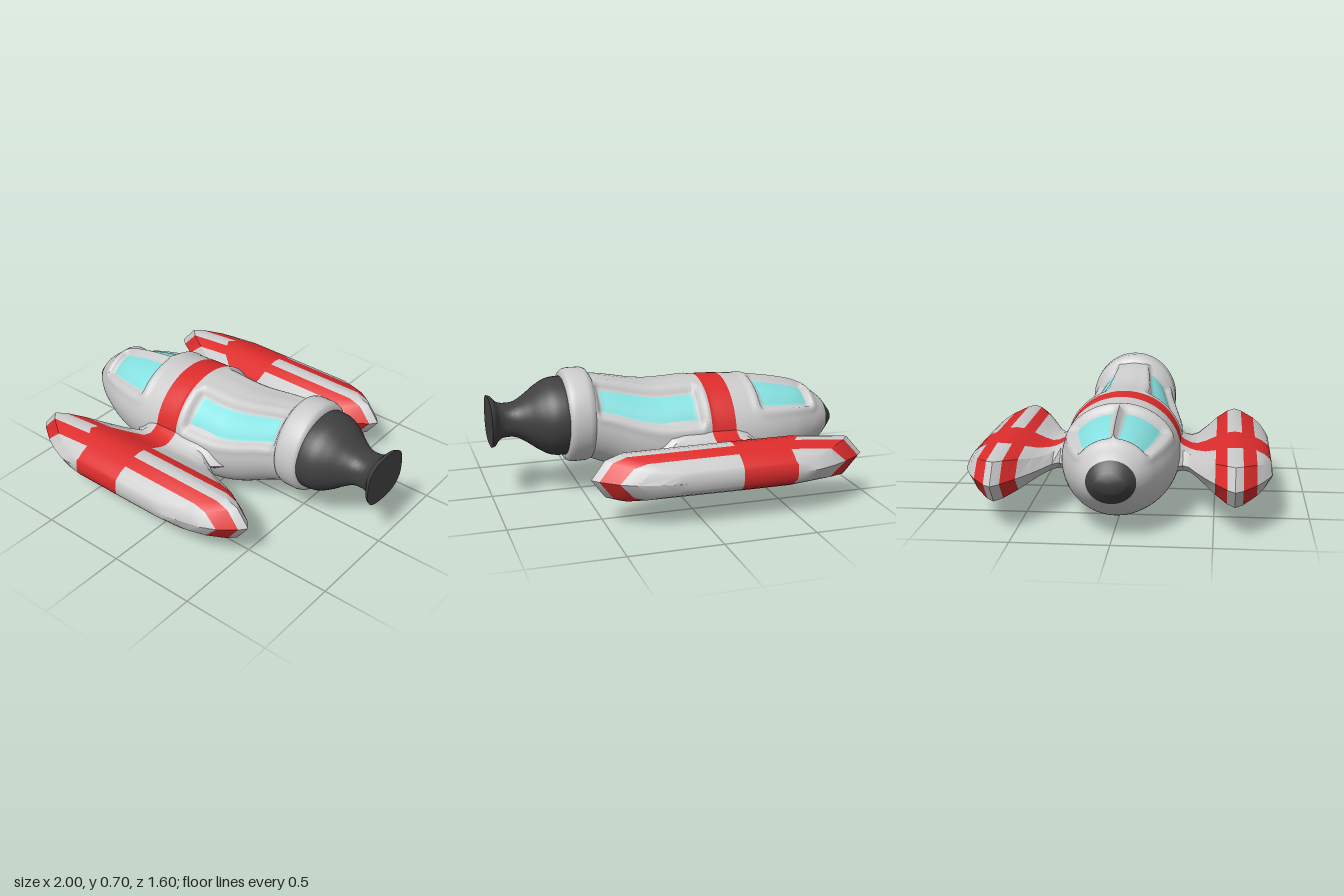
import * as THREE from 'three';
import { toCreasedNormals } from 'three/addons/utils/BufferGeometryUtils.js';

const COLORS = { grey: 0xcccccc, red: 0xdd2c2c, cyan: 0x86e0e0, black: 0x404040 };
const MATERIALS = {};
for (const key in COLORS) MATERIALS[key] = new THREE.MeshStandardMaterial({ color: COLORS[key] });

// Smooth lookup in rows of [x, a, b, ...]
function sample(rows, x) {
  let i = 0;
  while (i < rows.length - 2 && x > rows[i + 1][0]) i++;
  const slope = (k, c) => {
    const p = rows[Math.max(k - 1, 0)], q = rows[Math.min(k + 1, rows.length - 1)];
    return (q[c] - p[c]) / (q[0] - p[0]);
  };
  const p = rows[i], q = rows[i + 1], w = q[0] - p[0], t = (x - p[0]) / w;
  const h = t * t * (3 - 2 * t);
  return p.slice(1).map((v, k) => {
    const c = k + 1;
    return v * (1 - h) + q[c] * h + w * t * (1 - t) * ((1 - t) * slope(i, c) - t * slope(i + 1, c));
  });
}

// Skin closed rings of points; paint(i, j) picks a colour for each quad.
// names maps each colour to the name of the part it makes.
function loft(names, rings, paint, crease) {
  const pos = [], tints = [];
  const a = new THREE.Vector3(), b = new THREE.Vector3();
  const tri = (p, q, r, tint) => {
    if (a.subVectors(q, p).cross(b.subVectors(r, p)).length() < 1e-9) return;
    for (const v of [p, q, r]) pos.push(v.x, v.y, v.z);
    tints.push(tint);
  };
  for (let i = 0; i < rings.length - 1; i++) {
    const n = rings[i].length;
    for (let j = 0; j < n; j++) {
      const k = (j + 1) % n, tint = paint(i, j);
      tri(rings[i][j], rings[i + 1][j], rings[i + 1][k], tint);
      tri(rings[i][j], rings[i + 1][k], rings[i][k], tint);
    }
  }
  let geo = new THREE.BufferGeometry();
  geo.setAttribute('position', new THREE.Float32BufferAttribute(pos, 3));
  geo = toCreasedNormals(geo, crease);
  const group = new THREE.Group();
  for (const tint in names) {
    const part = new THREE.BufferGeometry();
    for (const attr of ['position', 'normal']) {
      const src = geo.attributes[attr].array, out = [];
      tints.forEach((t, f) => {
        if (t === tint) for (let k = 0; k < 9; k++) out.push(src[f * 9 + k]);
      });
      part.setAttribute(attr, new THREE.Float32BufferAttribute(out, 3));
    }
    const mesh = new THREE.Mesh(part, MATERIALS[tint]);
    mesh.name = names[tint];
    group.add(mesh);
  }
  return group;
}

// Hull stations: x, top, bottom, half width
const HULL = [
  [-1, 0.355, 0.265, 0.075], [-0.95, 0.42, 0.2, 0.125], [-0.88, 0.475, 0.145, 0.178],
  [-0.8, 0.525, 0.1, 0.22], [-0.7, 0.555, 0.062, 0.262], [-0.55, 0.583, 0.03, 0.3],
  [-0.4, 0.598, 0.014, 0.315], [-0.2, 0.61, 0.005, 0.315], [0, 0.602, 0.018, 0.31],
  [0.1, 0.602, 0.036, 0.3], [0.2, 0.615, 0.07, 0.28], [0.35, 0.645, 0.145, 0.245],
  [0.46, 0.66, 0.19, 0.225],
];
const SEGS = 96;
// Windows: x range, range of ring steps above the side
const WINDOWS = [[-0.81, -0.51, 10, 22], [-0.11, 0.41, 6, 16]];
const fold = j => (j > SEGS / 4 ? SEGS / 2 - j : j); // mirror left and right

function recess(x, j) {
  let depth = 0;
  for (const [x0, x1, j0, j1] of WINDOWS) {
    const dx = Math.max(x0 - x, x - x1, 0);
    const dj = Math.max(j0 - fold(j), fold(j) - j1, 0) * 0.017;
    const d = Math.hypot(dx, dj);
    depth += 0.034 * (1 - THREE.MathUtils.smoothstep(d, 0.004, 0.035));
    depth -= 0.008 * Math.exp(-(((d - 0.05) / 0.02) ** 2));
  }
  return depth;
}

function buildHull() {
  const xs = [], rings = [];
  for (let k = 0; k <= 146; k++) xs.push(-1 + k / 100);
  for (const x of xs) {
    const [top, bottom, half] = sample(HULL, x);
    rings.push(Array.from({ length: SEGS }, (_, j) => {
      const t = (j / SEGS) * Math.PI * 2, inset = recess(x, j);
      return new THREE.Vector3(x, (top + bottom) / 2 + ((top - bottom) / 2 - inset) * Math.sin(t),
        (half - inset) * Math.cos(t));
    }));
  }
  rings.unshift(rings[0].map(() => new THREE.Vector3(-1, 0.31, 0)));
  xs.unshift(-1);
  const paint = (i, j) => {
    const x = (xs[i] + xs[i + 1]) / 2, f = fold(j + 0.5);
    if (x < -0.95) return 'black';
    if (x > -0.32 && x < -0.18) return 'red';
    return WINDOWS.some(w => x > w[0] && x < w[1] && f > w[2] && f < w[3]) ? 'cyan' : 'grey';
  };
  return loft({ grey: 'hullSkin', red: 'hullBand', cyan: 'windows', black: 'noseCap' }, rings, paint, 1);
}

// Tail engine stations: x, half height, half width
const ENGINE = [
  [0.56, 0.215, 0.228], [0.62, 0.217, 0.232], [0.68, 0.208, 0.222], [0.74, 0.175, 0.188],
  [0.8, 0.13, 0.142], [0.86, 0.095, 0.107], [0.92, 0.09, 0.1], [0.955, 0.1, 0.115],
  [0.98, 0.128, 0.15], [1, 0.134, 0.162],
];
function buildEngine() {
  const rings = [], n = 48;
  for (let k = 0; k <= 44; k++) {
    const x = 0.56 + k / 100, [ry, rz] = sample(ENGINE, x);
    // round at the collar, squarer towards the nozzle lip
    const e = 1 - 0.25 * THREE.MathUtils.smoothstep(x, 0.7, 0.98);
    const bend = v => Math.sign(v) * Math.abs(v) ** e;
    rings.push(Array.from({ length: n }, (_, j) => {
      const t = (j / n) * Math.PI * 2;
      return new THREE.Vector3(x, 0.44 + ry * bend(Math.sin(t)), rz * bend(Math.cos(t)));
    }));
  }
  rings.push(rings[0].map(() => new THREE.Vector3(1, 0.44, 0)));
  return loft({ black: 'nozzle' }, rings, () => 'black', 0.8);
}

// Side pod and its pylon, sliced across z: z, left x, right x, half height, band left x
const POD = [
  [0.25, -0.54, 0.2, 0.16, -0.32], [0.29, -0.49, 0.14, 0.115, -0.32],
  [0.33, -0.445, 0.09, 0.08, -0.32], [0.365, -0.48, 0.14, 0.063, -0.32],
  [0.4, -0.57, 0.21, 0.058, -0.34], [0.45, -0.68, 0.34, 0.074, -0.42],
  [0.505, -0.785, 0.455, 0.1, -0.49], [0.565, -0.885, 0.545, 0.122, -0.53],
  [0.605, -0.93, 0.578, 0.128, -0.55], [0.645, -0.895, 0.545, 0.123, -0.52],
  [0.715, -0.79, 0.455, 0.1, -0.47], [0.755, -0.71, 0.375, 0.08, -0.47],
  [0.785, -0.63, 0.25, 0.056, -0.47], [0.795, -0.6, 0.2, 0.04, -0.48],
  [0.8, -0.58, 0.17, 0, -0.48],
];
function buildPod(side) {
  const slices = side > 0 ? POD : [...POD].reverse();
  const rings = slices.map(([z, x0, x1, h, band]) => {
    const low = z < 0.42 ? Math.min(h, 0.06) : h; // flat underside on the pylon
    const s = Math.min(0.09, (band - x0) * 0.6);
    const upper = [[x0 + s, 0.8], [band, 1], [-0.18, 1], [x1 - s * 1.6, 0.97], [x1 - s * 0.8, 0.77]];
    const pts = [[x0, 0], ...upper.map(([x, f]) => [x, f * h]), [x1, 0],
      ...upper.reverse().map(([x, f]) => [x, -f * low])];
    return pts.map(([x, y]) => new THREE.Vector3(x, 0.265 + y, side * z));
  });
  const paint = (i, j) => {
    const z = (slices[i][0] + slices[i + 1][0]) / 2;
    const stripe = (z > 0.505 && z < 0.565) || (z > 0.645 && z < 0.715);
    return stripe || j === 2 || j === 9 ? 'red' : 'grey';
  };
  return loft({ grey: 'podSkin', red: 'podStripes' }, rings, paint, 0.6);
}

export function createModel() {
  const model = new THREE.Group();
  model.name = 'spacecraft';
  const add = (part, name) => { part.name = name; model.add(part); };
  add(buildHull(), 'hull');
  add(buildEngine(), 'engine');
  add(buildPod(1), 'leftPod');
  add(buildPod(-1), 'rightPod');

  // Rounded collar between hull and engine
  const profile = [[0.2, 0.43], [0.232, 0.445], [0.252, 0.46], [0.261, 0.485], [0.262, 0.555],
    [0.256, 0.58], [0.24, 0.597], [0.205, 0.6]].map(p => new THREE.Vector2(...p));
  const collar = new THREE.Mesh(new THREE.LatheGeometry(profile, 64), MATERIALS.grey);
  collar.rotation.z = -Math.PI / 2;
  collar.scale.z = 0.95;
  collar.position.y = 0.44;
  add(collar, 'collar');
  return model;
}
